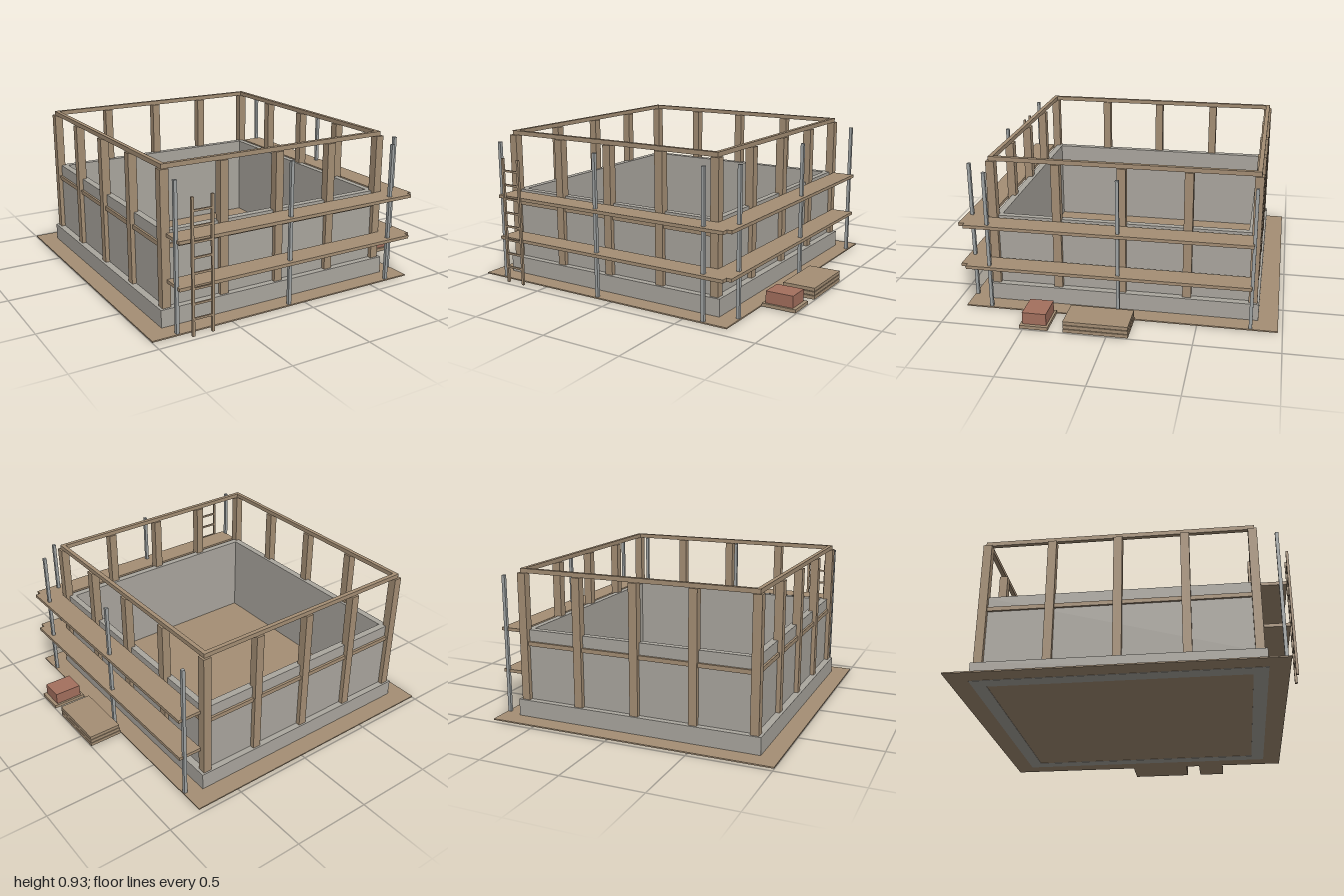
import * as THREE from 'three';

const mat = (name, color) => {
  const m = new THREE.MeshStandardMaterial({ color });
  m.name = name;
  return m;
};

export function createModel() {
  const wood = mat('timber', 0xa58f75);
  const concrete = mat('concrete', 0xaba79f);
  const steel = mat('steel', 0xa0a4a4);
  const brick = mat('brick', 0xa4705e);

  const model = new THREE.Group();
  model.name = 'houseUnderConstruction';

  // Box given by its extents along each axis
  const box = (name, material, [x0, x1], [y0, y1], [z0, z1]) => {
    const mesh = new THREE.Mesh(new THREE.BoxGeometry(x1 - x0, y1 - y0, z1 - z0), material);
    mesh.position.set((x0 + x1) / 2, (y0 + y1) / 2, (z0 + z1) / 2);
    mesh.name = name;
    model.add(mesh);
  };
  const around = (c, size) => [c - size / 2, c + size / 2];

  // Hollow rectangle extruded upwards
  const ring = (name, [x0, x1], [z0, z1], [a0, a1], [b0, b1], [y0, y1]) => {
    const rect = (l, r, back, front) => [
      new THREE.Vector2(l, -front), new THREE.Vector2(r, -front),
      new THREE.Vector2(r, -back), new THREE.Vector2(l, -back)];
    const shape = new THREE.Shape(rect(x0, x1, z0, z1));
    shape.holes.push(new THREE.Path(rect(a0, a1, b0, b1).reverse()));
    const geo = new THREE.ExtrudeGeometry(shape, { depth: y1 - y0, bevelEnabled: false });
    geo.rotateX(-Math.PI / 2);
    const mesh = new THREE.Mesh(geo, concrete);
    mesh.position.y = y0;
    mesh.name = name;
    model.add(mesh);
  };

  // Ground, foundation and walls
  box('groundSlab', wood, [-1, 0.783], [0.002, 0.01], [-0.973, 0.92]);
  const innerX = [-0.802, 0.588], innerZ = [-0.773, 0.722];
  ring('foundation', [-0.888, 0.671], [-0.855, 0.805], innerX, innerZ, [0, 0.115]);
  ring('walls', [-0.845, 0.627], [-0.816, 0.765], innerX, innerZ, [0.115, 0.555]);

  // Timber frame: posts on the perimeter
  const postX = [-0.845, -0.477, -0.109, 0.259, 0.627];
  const postZ = [-0.818, -0.422, -0.026, 0.369, 0.765];
  postX.forEach((x, i) => postZ.forEach((z, j) => {
    if (i % 4 && j % 4) return;
    box('post', wood, around(x, 0.052), [0.115, 0.905], around(z, 0.052));
  }));

  // Mid rails and top beams
  const spanX = [-0.857, 0.639], spanZ = [-0.83, 0.777];
  for (const [name, y] of [['midRail', [0.457, 0.483]], ['topBeam', [0.905, 0.932]]]) {
    for (const z of [postZ[0], postZ[4]]) box(name, wood, spanX, y, around(z, 0.026));
    for (const x of [postX[0], postX[4]]) box(name, wood, around(x, 0.026), y, spanZ);
  }

  // Scaffold on the front and the left side
  for (const y of [0.274, 0.54]) {
    box('frontPlank', wood, [-0.842, 0.77], around(y, 0.02), [0.793, 0.941]);
    box('sidePlank', wood, [0.654, 0.802], around(y, 0.02), [-0.813, 0.903]);
  }
  const poles = [[-0.843, 0.905], [-0.107, 0.905], [0.627, 0.905],
    [0.769, 0.763], [0.769, -0.026], [0.769, -0.814]];
  for (const [x, z] of poles) {
    box('scaffoldPole', steel, around(x, 0.02), [0.005, 0.878], around(z, 0.02));
  }

  // Ladder
  for (const x of [-0.773, -0.651]) box('ladderRail', wood, around(x, 0.015), [0, 0.79], [0.953, 0.968]);
  for (let i = 0; i < 8; i++) {
    box('ladderRung', wood, [-0.773, -0.651], around(0.1 + i * 0.0876, 0.012), [0.955, 0.966]);
  }

  // Lumber stack
  for (let i = 0; i < 3; i++) {
    box('lumberBoard', wood, [0.787 + i * 0.004, 1], [0.005 + i * 0.025, 0.026 + i * 0.025], [-0.128, 0.256]);
  }

  // Brick pallet
  box('pallet', wood, [0.787, 1], [0.005, 0.026], [0.348, 0.518]);
  box('brickPile', brick, [0.805, 0.978], [0.026, 0.099], [0.361, 0.505]);

  return model;
}
